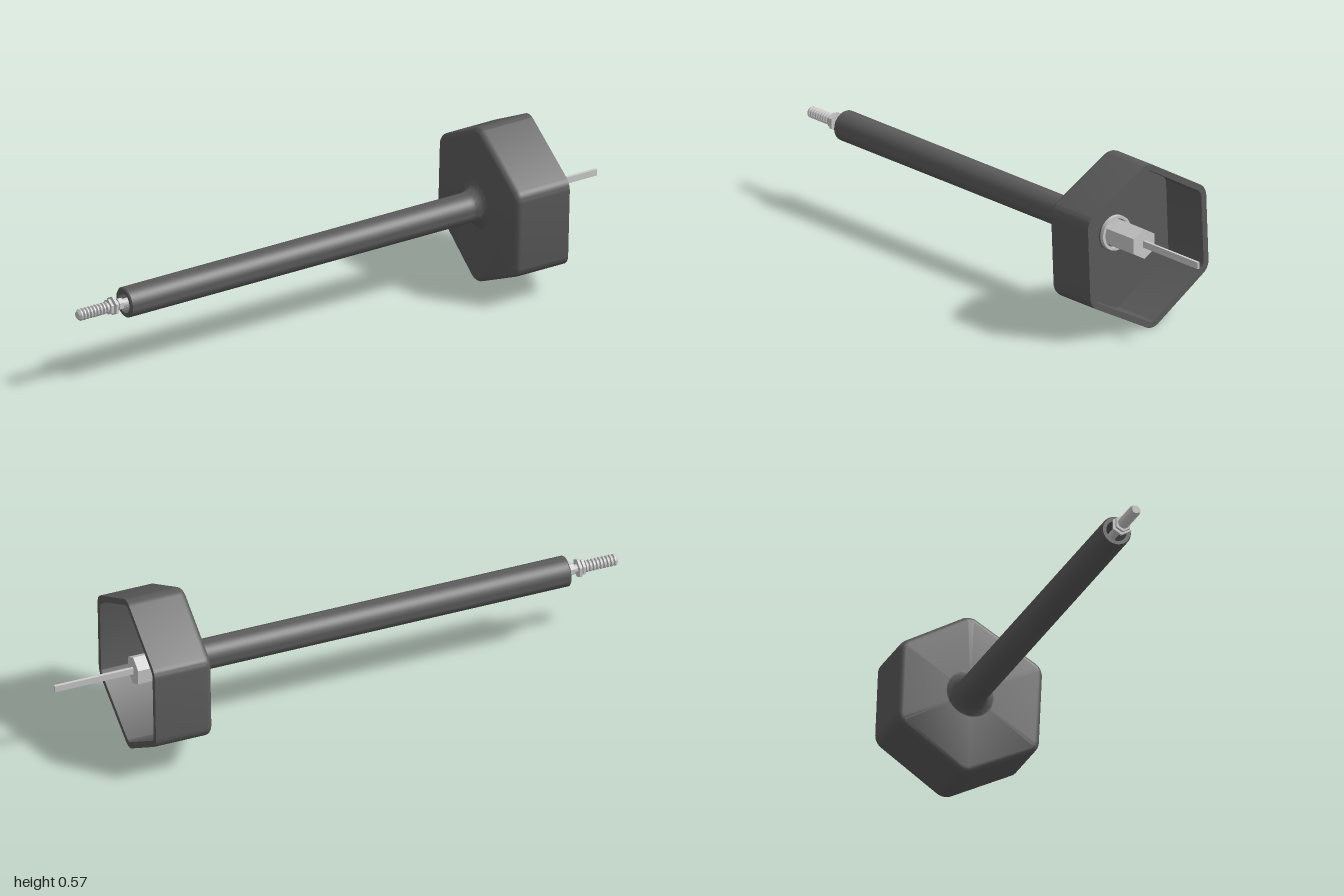
import * as THREE from 'three';
import { toCreasedNormals } from 'three/addons/utils/BufferGeometryUtils.js';

const AXIS_Y = 0.29;
const dark = new THREE.MeshStandardMaterial({ color: 0x5c5c5c });
const grey = new THREE.MeshStandardMaterial({ color: 0xcccccc });

// Turned part along x from [x, radius] pairs
function turned(name, pairs, material, segments = 40) {
  const points = pairs.map(([x, r]) => new THREE.Vector2(r, x));
  const geo = new THREE.LatheGeometry(points, segments).rotateZ(-Math.PI / 2);
  const mesh = new THREE.Mesh(toCreasedNormals(geo, 0.6), material);
  mesh.name = name;
  mesh.position.y = AXIS_Y;
  return mesh;
}

// Hexagonal prism along x with a corner pointing up
function hexPrism(name, x0, x1, radius, material) {
  const geo = new THREE.CylinderGeometry(radius, radius, x1 - x0, 6).rotateZ(-Math.PI / 2).rotateX(Math.PI / 6);
  const mesh = new THREE.Mesh(toCreasedNormals(geo, 0.5), material);
  mesh.name = name;
  mesh.position.set((x0 + x1) / 2, AXIS_Y, 0);
  return mesh;
}

// Rounded, slightly irregular hexagon pulled in by "inset"; corners are (z, y)
const CORNERS = [[0.003, 0.581], [0.261, 0.43], [0.248, 0.13], [-0.017, -0.008], [-0.259, 0.157], [-0.247, 0.44]]
  .map(([z, y]) => new THREE.Vector2(z, y));
const CORNER_RADIUS = 0.05, STEPS = 8;

function hexRing(x, inset) {
  const n = CORNERS.length, ring = [];
  const edgeNormal = i => {
    const d = CORNERS[(i + 1) % n].clone().sub(CORNERS[i % n]).normalize();
    return new THREE.Vector2(-d.y, d.x);
  };
  CORNERS.forEach((corner, i) => {
    const n1 = edgeNormal(i + n - 1), n2 = edgeNormal(i);
    const centre = corner.clone().addScaledVector(n1.clone().add(n2), -CORNER_RADIUS / (1 + n1.dot(n2)));
    for (let s = 0; s <= STEPS; s++) {
      const dir = n1.clone().lerp(n2, s / STEPS).normalize();
      const p = centre.clone().addScaledVector(dir, CORNER_RADIUS - inset);
      ring.push([x, p.y, p.x]);
    }
  });
  return ring;
}

// Open cup: back face, rounded back edge, outer wall, rim, inner wall, floor
function cup() {
  const wall = 0.021, fillet = 0.022, back = 0.538, rim = 0.742, floor = 0.56;
  const profile = [];
  for (let i = 0; i <= 5; i++) {
    const a = i / 5 * Math.PI / 2;
    profile.push([back + fillet * (1 - Math.cos(a)), fillet * (1 - Math.sin(a))]);
  }
  profile.push([rim, 0], [rim, wall], [floor, wall]);
  const rings = profile.map(([x, inset]) => hexRing(x, inset));
  const hub = x => rings[0].map(() => [x, AXIS_Y, 0]);
  rings.unshift(hub(back));
  rings.push(hub(floor));

  const pos = [];
  const count = rings[0].length;
  for (let i = 0; i < rings.length - 1; i++) {
    for (let j = 0; j < count; j++) {
      const k = (j + 1) % count;
      const a = rings[i][j], b = rings[i][k], c = rings[i + 1][j], d = rings[i + 1][k];
      if (i > 0) pos.push(...a, ...b, ...c);
      if (i < rings.length - 2) pos.push(...b, ...d, ...c);
    }
  }
  const geo = new THREE.BufferGeometry();
  geo.setAttribute('position', new THREE.Float32BufferAttribute(pos, 3));
  const mesh = new THREE.Mesh(toCreasedNormals(geo, 0.6), dark);
  mesh.name = 'hexCup';
  return mesh;
}

export function createModel() {
  const model = new THREE.Group();
  model.name = 'hexCupTool';
  model.add(cup());

  // Hollow shaft flaring into the back of the cup
  const shaft = [[-0.72, 0], [-0.72, 0.036], [-0.82, 0.036], [-0.82, 0.048], [-0.816, 0.052]];
  for (let i = 0; i <= 8; i++) {
    const a = i / 8 * Math.PI / 2;
    shaft.push([0.493 + 0.047 * Math.sin(a), 0.052 + 0.043 * (1 - Math.cos(a))]);
  }
  model.add(turned('shaft', shaft, dark));

  // Boss, washer and nut on the cup floor
  const boss = turned('boss', [[0.555, 0.061], [0.565, 0.061], [0.565, 0]], dark);
  boss.position.y -= 0.004;
  model.add(boss);
  model.add(turned('washer', [[0.566, 0.05], [0.566, 0.06], [0.58, 0.06], [0.58, 0.05], [0.566, 0.05]], grey));
  model.add(hexPrism('nut', 0.56, 0.72, 0.052, grey));

  // Flat blade projecting from the nut
  const blade = new THREE.Mesh(new THREE.BoxGeometry(0.29, 0.023, 0.01), grey);
  blade.name = 'blade';
  blade.position.set(0.855, AXIS_Y, 0);
  model.add(blade);

  // Threaded stud with ridges
  const stud = [[-1, 0], [-1, 0.013]];
  for (let i = 0; i < 9; i++) {
    const x = -0.992 + i * 0.0125;
    stud.push([x, 0.02], [x + 0.005, 0.02], [x + 0.008, 0.014]);
  }
  stud.push([-0.7, 0.014]);
  model.add(turned('threadedStud', stud, grey, 20));

  // Collars and small nut between stud and shaft
  const collars = [[-0.877, 0.028, 0.009], [-0.862, 0.034, 0.009], [-0.838, 0.021, 0.016]];
  collars.forEach(([x, r, w], i) => {
    model.add(hexPrism('studCollar' + (i + 1), x - w / 2, x + w / 2, r, grey));
  });
  return model;
}
